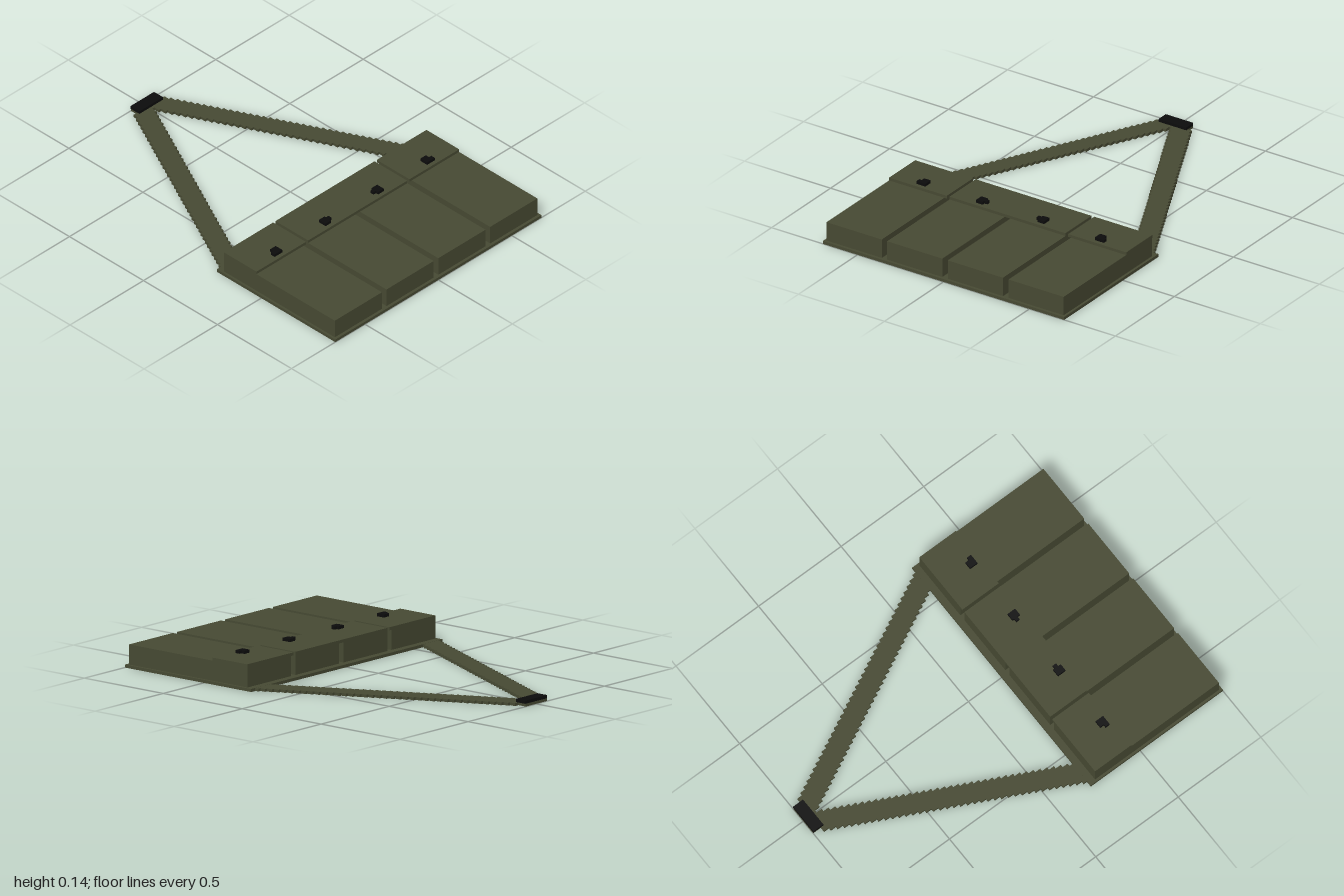
import * as THREE from 'three';

const U = 0.01493; // thickness of one layer and width of one stair step

export function createModel() {
  const model = new THREE.Group();
  const olive = new THREE.MeshStandardMaterial({ color: 0x474a33 });
  olive.name = 'oliveCloth';
  const black = new THREE.MeshStandardMaterial({ color: 0x0c0c0c });
  black.name = 'blackPlastic';

  // Box given by its limits on each axis
  function box(name, material, x0, x1, y0, y1, z0, z1) {
    const mesh = new THREE.Mesh(new THREE.BoxGeometry(x1 - x0, y1 - y0, z1 - z0), material);
    mesh.position.set((x0 + x1) / 2, (y0 + y1) / 2, (z0 + z1) / 2);
    mesh.name = name;
    model.add(mesh);
  }

  // Backing panel
  box('backPanel', olive, -0.702, 0.702, 0, U, 0.2, 1);

  // Four pouches
  for (const x of [-0.69, -0.338, 0.015, 0.368]) {
    box('pouch', olive, x, x + 0.321, U, 0.114, 0.235, 0.985);
  }

  // Lids: one at each side and one spanning the middle pair
  for (const [x0, x1] of [[-0.69, -0.354], [-0.338, 0.336], [0.352, 0.69]]) {
    box('lid', olive, x0, x1, 0.114, 0.129, 0.235, 0.456);
  }

  // Stepped lid buckles, mirrored left and right
  function span(name, s, a, b, z0, z1) {
    box(name, black, Math.min(s * a, s * b), Math.max(s * a, s * b), 0.129, 0.144, z0, z1);
  }
  for (const s of [-1, 1]) {
    span('outerBuckle', s, 0.493, 0.545, 0.411, 0.435);
    span('outerBuckleTab', s, 0.493, 0.53, 0.39, 0.411);
    span('innerBuckle', s, 0.16, 0.198, 0.39, 0.435);
    span('innerBuckleTab', s, 0.143, 0.16, 0.4, 0.42);
  }

  // Neck strap: stair-stepped triangular outline, drawn as (x, -z)
  const outer = [], inner = [];
  for (let i = 0; i < 39; i++) {
    const z0 = 0.21 - i * 2 * U, z1 = z0 - 2 * U;
    const xo = 0.672 - i * U, xi = 0.56 - i * U;
    outer.push([xo, -z0], [xo, -z1]);
    if (xi > 0.005) inner.push([xi, -z0], [xi, -z1]);
  }
  outer.push([0.078, outer[outer.length - 1][1]], [0.078, 1]);
  const mirror = (points) => points.map(([x, y]) => [-x, y]);
  const outline = [
    ...outer, ...mirror(outer).reverse(),
    ...mirror(inner), ...[...inner].reverse(),
  ].map(([x, y]) => new THREE.Vector2(x, y));
  const strapGeometry = new THREE.ExtrudeGeometry(new THREE.Shape(outline), {
    depth: U - 0.001, bevelEnabled: false,
  });
  strapGeometry.rotateX(-Math.PI / 2);
  const strap = new THREE.Mesh(strapGeometry, olive);
  strap.name = 'neckStrap';
  strap.position.y = 0.0005;
  model.add(strap);

  // Clasp at the tip of the strap
  box('strapClasp', black, -0.08, 0.08, U - 0.001, 2 * U, -1, -0.94);

  return model;
}
